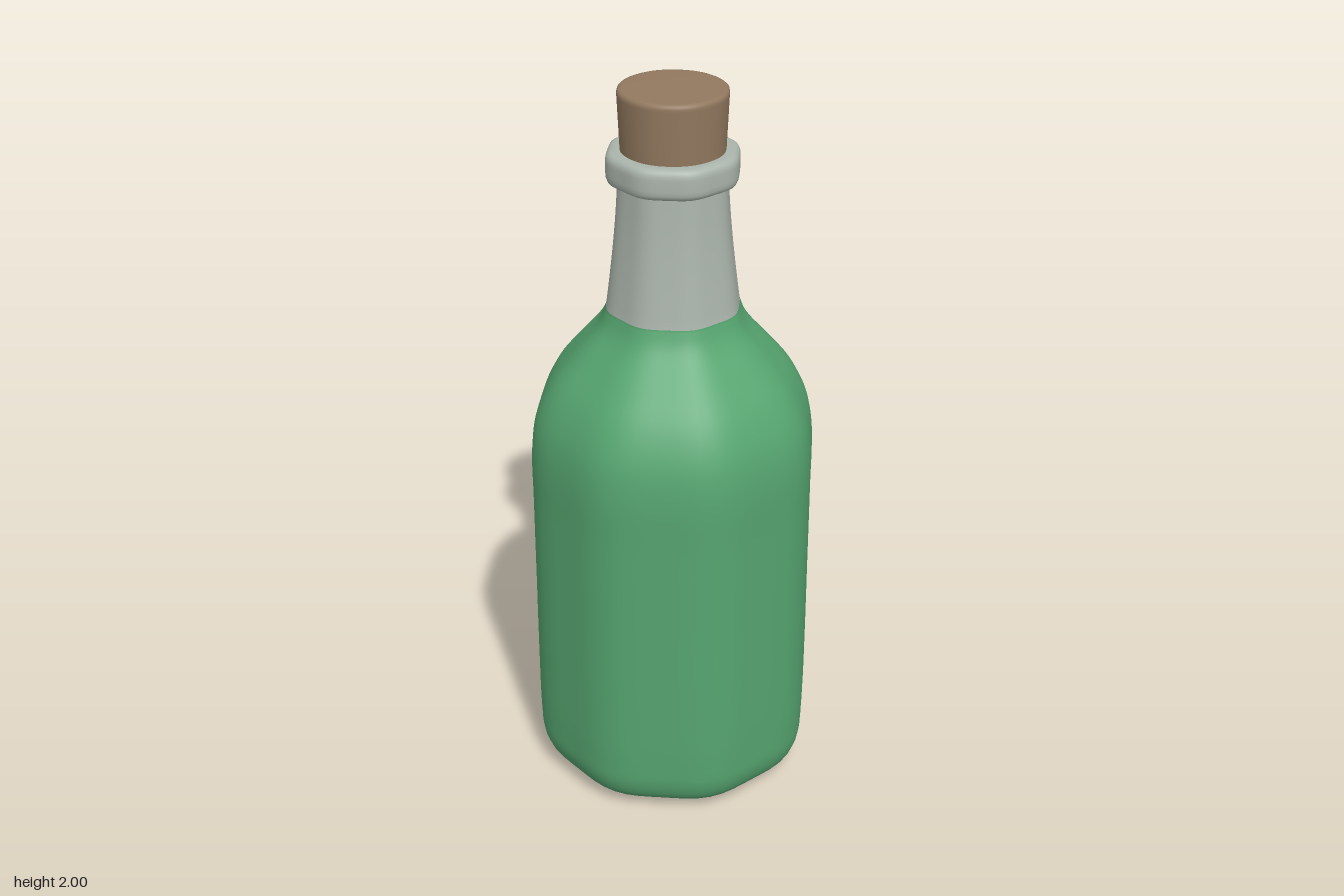
import * as THREE from 'three';
import { mergeVertices } from 'three/addons/utils/BufferGeometryUtils.js';

const SEGMENTS = 64;

// Smooth curve through [radius, height] points
function smooth(points, divisions) {
  const curve = new THREE.CatmullRomCurve3(points.map(([r, y]) => new THREE.Vector3(r, y, 0)));
  return curve.getPoints(divisions).map((p) => [Math.max(p.x, 0), p.y]);
}

// Lathe whose round section is pushed towards a soft octagon with flats on the axes
function softLathe(profile, octagon) {
  const lathe = new THREE.LatheGeometry(profile.map(([r, y]) => new THREE.Vector2(r, y)), SEGMENTS);
  const pos = lathe.attributes.position;
  for (let i = 0; i < pos.count; i++) {
    const x = pos.getX(i), z = pos.getZ(i);
    const k = 1 + octagon * (1 - Math.cos(8 * Math.atan2(z, x)));
    pos.setX(i, x * k);
    pos.setZ(i, z * k);
  }
  lathe.deleteAttribute('uv');
  lathe.deleteAttribute('normal');
  const geometry = mergeVertices(lathe, 1e-5);
  geometry.computeVertexNormals();
  return geometry;
}

// Keep only the triangles whose centre height passes the test; normals stay shared
function slice(geometry, keep) {
  const part = geometry.clone();
  const pos = geometry.attributes.position, index = geometry.index.array, kept = [];
  for (let i = 0; i < index.length; i += 3) {
    const tri = [index[i], index[i + 1], index[i + 2]];
    const y = tri.reduce((sum, v) => sum + pos.getY(v), 0) / 3;
    if (keep(y)) kept.push(...tri);
  }
  part.setIndex(kept);
  return part;
}

export function createModel() {
  const group = new THREE.Group();
  const material = (name, color) => {
    const m = new THREE.MeshStandardMaterial({ color });
    m.name = name;
    return m;
  };
  const green = material('green glass', 0x56a570);
  const grey = material('pale grey', 0xabb5ac);
  const brown = material('cork brown', 0x92795f);
  const add = (name, geometry, mat) => {
    const mesh = new THREE.Mesh(geometry, mat);
    mesh.name = name;
    group.add(mesh);
  };

  // Bottle: one continuous profile, coloured green below the neck line and grey above
  const neckLine = 1.41;
  const lower = smooth([
    [0.25, 0.004], [0.30, 0.016], [0.345, 0.045], [0.368, 0.095], [0.374, 0.17],
    [0.376, 0.35], [0.376, 0.6], [0.376, 0.85], [0.375, 1.02], [0.36, 1.11],
    [0.32, 1.2], [0.255, 1.285], [0.205, 1.345], [0.187, 1.375], [0.174, neckLine],
  ], 70);
  const neck = smooth([
    [0.174, neckLine], [0.164, 1.49], [0.154, 1.58], [0.146, 1.67], [0.14, 1.77],
  ], 12);
  const bottle = softLathe([[0, 0], [0.15, 0], ...lower, ...neck.slice(1)], 0.018);
  add('bottleBody', slice(bottle, (y) => y < neckLine), green);
  add('bottleNeck', slice(bottle, (y) => y >= neckLine), grey);

  // Lip ring around the mouth
  add('lipRing', softLathe([
    [0.11, 1.757], [0.14, 1.757], [0.156, 1.758], [0.165, 1.763], [0.169, 1.773], [0.17, 1.785],
    [0.17, 1.815], [0.169, 1.825], [0.165, 1.834], [0.157, 1.839], [0.145, 1.84], [0.11, 1.84],
  ], 0.018), grey);

  // Tapered stopper with a softened top edge
  add('cork', softLathe([
    [0, 1.77], [0.13, 1.77], [0.132, 1.775], [0.1355, 1.84], [0.142, 1.982],
    [0.1425, 1.988], [0.141, 1.995], [0.136, 1.9995], [0.13, 2], [0, 2],
  ], 0.003), brown);

  return group;
}
